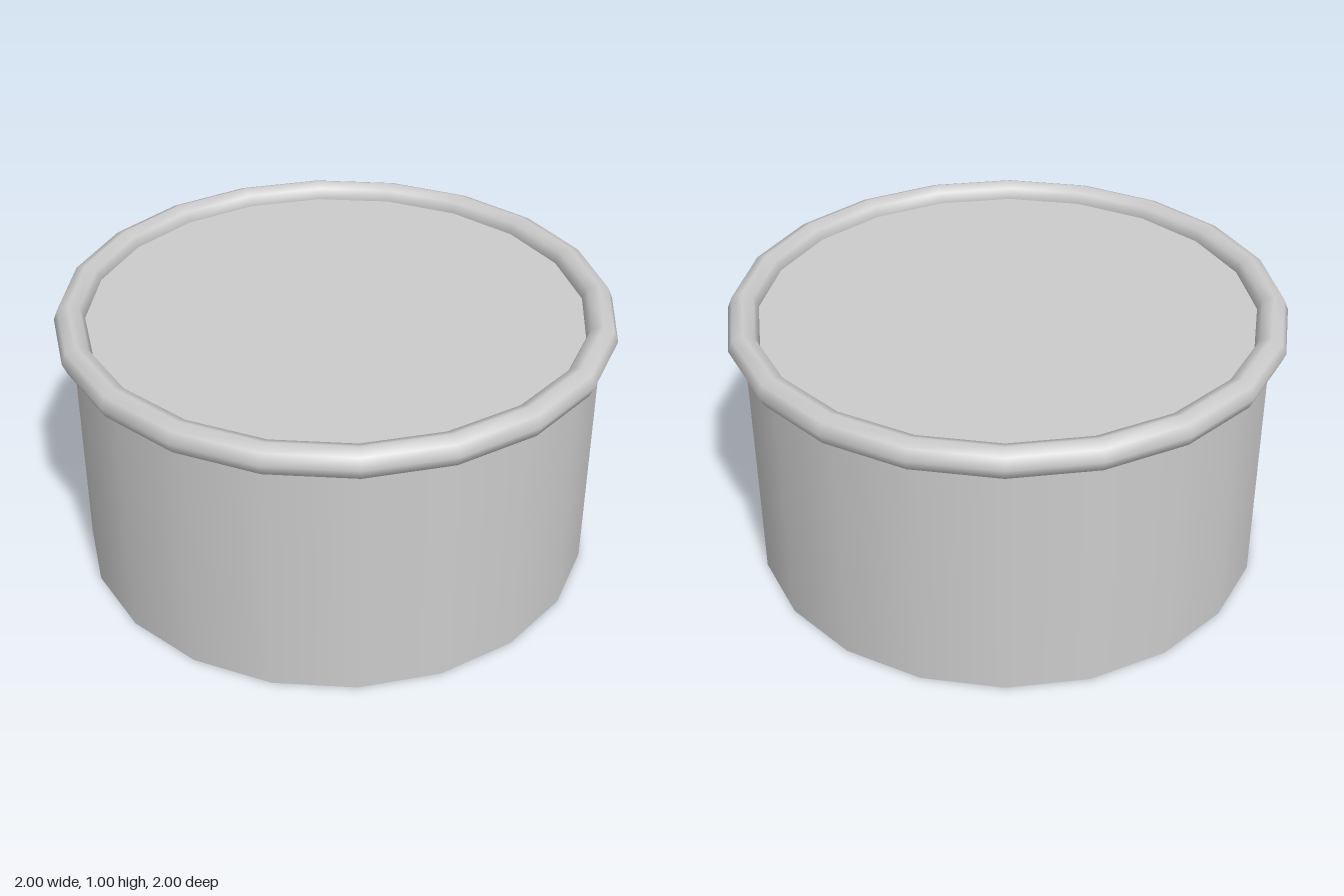
import * as THREE from 'three';

const SIDES = 20;
const RADIUS = 0.945;
const RIM = 0.055;
const TOP = 0.945;

export function createModel() {
  const model = new THREE.Group();
  model.name = 'rimmedDrum';
  const material = new THREE.MeshStandardMaterial({ color: 0xcccccc });

  // Closed drum, its top face level with the middle of the rim
  const drum = new THREE.Mesh(new THREE.CylinderGeometry(RADIUS, RADIUS, TOP, SIDES), material);
  drum.name = 'drumBody';
  drum.position.y = TOP / 2;

  // Rounded rim lying flat around the top edge
  const rimGeometry = new THREE.TorusGeometry(RADIUS, RIM, 8, SIDES);
  rimGeometry.rotateX(-Math.PI / 2);
  const rim = new THREE.Mesh(rimGeometry, material);
  rim.name = 'topRim';
  rim.position.y = TOP;

  // Both parts share the same slight turn about the upright axis
  for (const part of [drum, rim]) {
    part.rotation.y = THREE.MathUtils.degToRad(2);
    model.add(part);
  }
  return model;
}
